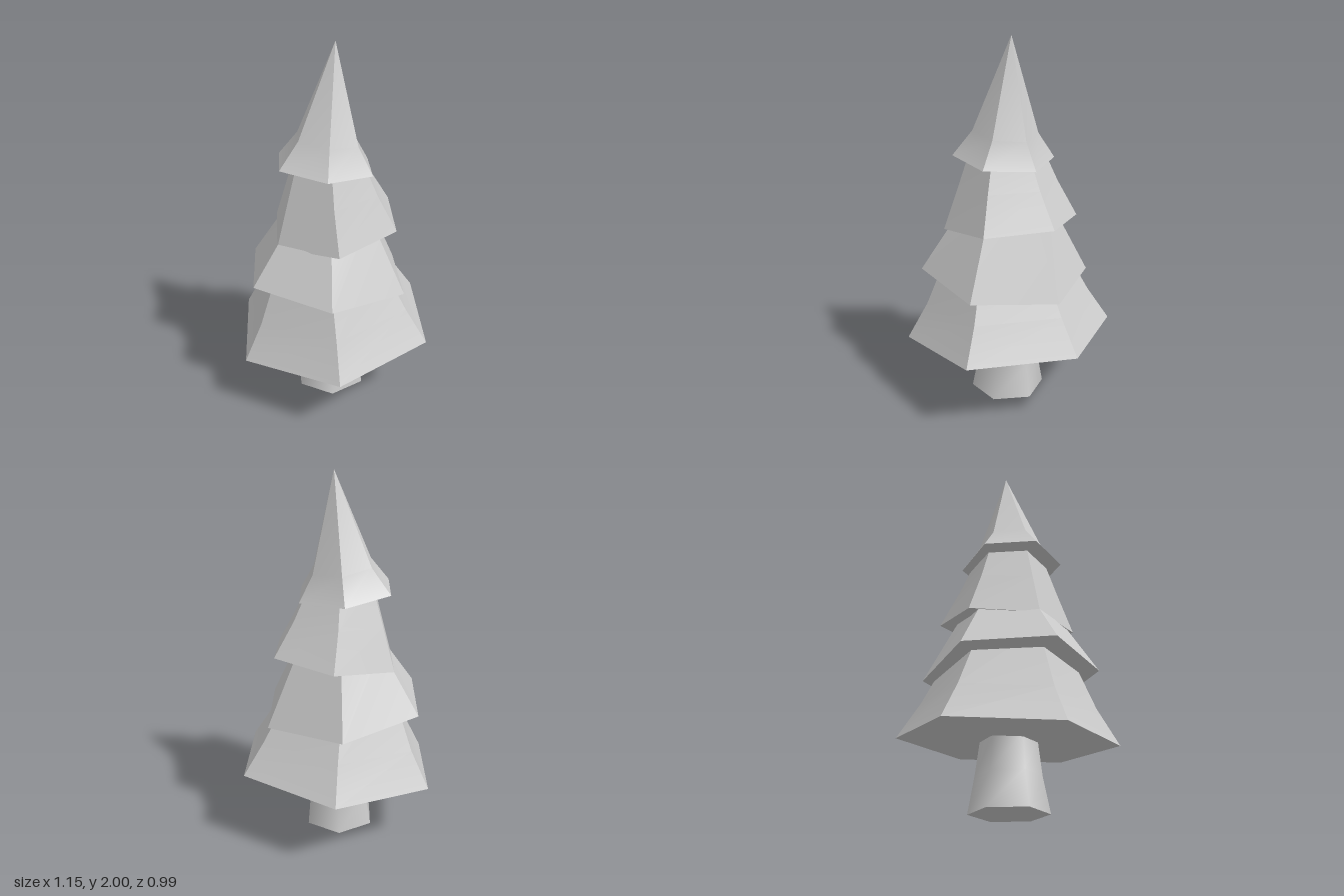
import * as THREE from 'three';

const SIDES = 6;

// Point i of a ring; rings have a radius r, centre (x, y) and rise by tilt towards +x
function ringPoint({ r, x, y, tilt = 0 }, i) {
  const a = (i % SIDES) * Math.PI * 2 / SIDES;
  return [x + r * Math.cos(a), y + tilt * Math.cos(a), r * Math.sin(a)];
}

function addMesh(group, name, positions, index, material) {
  const geometry = new THREE.BufferGeometry();
  geometry.setAttribute('position', new THREE.Float32BufferAttribute(positions, 3));
  geometry.setIndex(index);
  geometry.computeVertexNormals();
  const mesh = new THREE.Mesh(geometry, material);
  mesh.name = name;
  group.add(mesh);
}

// Closed six-sided loft through rings listed from bottom to top.
// round = true smooths around the corners, otherwise each side is its own facet.
function loft(name, rings, material, round = false) {
  const group = new THREE.Group();
  group.name = name;
  const positions = [], index = [], n = rings.length;

  for (let s = 0; s < SIDES; s++) {
    const start = positions.length / 3;
    for (const ring of rings) {
      positions.push(...ringPoint(ring, s));
      if (!round) positions.push(...ringPoint(ring, s + 1));
    }
    for (let k = 0; k < n - 1; k++) {
      const id = (side, level) => round
        ? ((s + side) % SIDES) * n + level
        : start + level * 2 + side;
      const a = id(0, k), b = id(1, k), c = id(0, k + 1), d = id(1, k + 1);
      index.push(a, c, b);
      if (rings[k + 1].r > 0) index.push(b, c, d);
    }
  }
  addMesh(group, name + 'Sides', positions, index, material);

  // Flat end caps
  for (const [ring, up] of [[rings[0], false], [rings[n - 1], true]]) {
    if (ring.r === 0) continue;
    const points = [ring.x, ring.y, 0], faces = [];
    for (let s = 0; s < SIDES; s++) {
      points.push(...ringPoint(ring, s));
      const a = s + 1, b = (s + 1) % SIDES + 1;
      faces.push(0, up ? b : a, up ? a : b);
    }
    addMesh(group, name + (up ? 'Top' : 'Underside'), points, faces, material);
  }
  return group;
}

export function createModel() {
  const model = new THREE.Group();
  model.name = 'pineTree';
  const material = new THREE.MeshStandardMaterial({ color: 0xcccccc });

  // Flared trunk
  model.add(loft('trunk', [
    { r: 0.205, x: -0.02, y: 0 },
    { r: 0.17, x: -0.015, y: 0.19 },
    { r: 0.148, x: -0.018, y: 0.365 },
  ], material, true));

  // Alternately tilted skirts of foliage, bottom to top
  const tiers = {
    bottomFoliage: [
      { r: 0.573, x: -0.002, y: 0.37, tilt: 0.05 },
      { r: 0.455, x: -0.014, y: 0.56, tilt: 0.04 },
      { r: 0.29, x: -0.045, y: 0.9, tilt: 0.02 },
    ],
    lowerFoliage: [
      { r: 0.463, x: -0.042, y: 0.718, tilt: -0.048 },
      { r: 0.24, x: -0.03, y: 1.1, tilt: 0.02 },
    ],
    upperFoliage: [
      { r: 0.362, x: 0.01, y: 1.01, tilt: 0.05 },
      { r: 0.268, x: -0.014, y: 1.22, tilt: 0.02 },
      { r: 0.19, x: -0.025, y: 1.42, tilt: -0.01 },
    ],
    topFoliage: [
      { r: 0.274, x: -0.052, y: 1.363, tilt: -0.028 },
      { r: 0.175, x: -0.035, y: 1.5, tilt: -0.025 },
      { r: 0, x: 0.014, y: 2 },
    ],
  };
  for (const [name, rings] of Object.entries(tiers)) model.add(loft(name, rings, material));

  return model;
}
